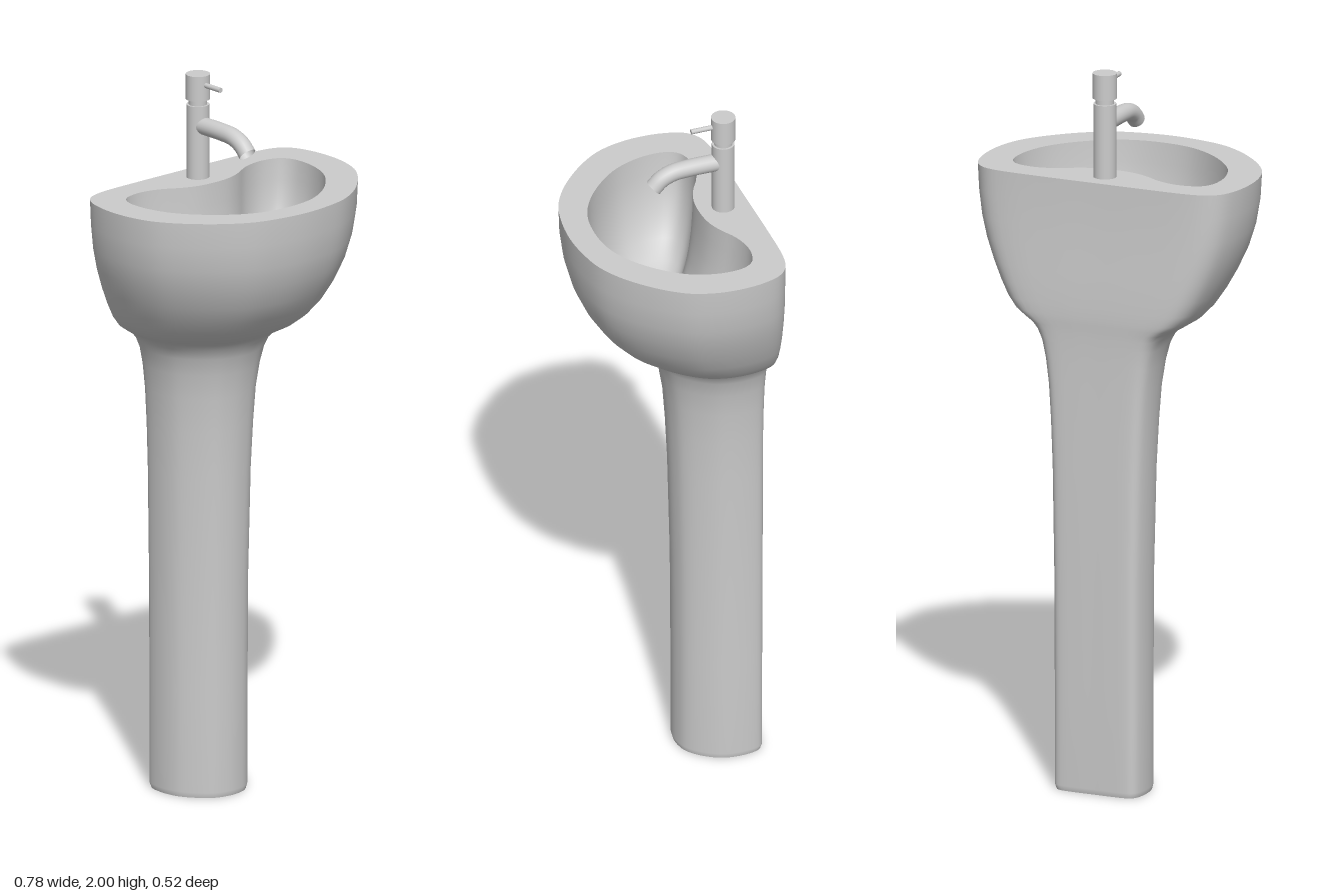
import * as THREE from 'three';

const SEG = 96;
const RIM_Y = 1.71;

// Smooth closed outline from a half profile of [x, z], front centre to back centre
function outline(half) {
  const mirrored = half.slice(1, -1).reverse().map(([x, z]) => [-x, z]);
  const pts = half.concat(mirrored).map(([x, z]) => new THREE.Vector3(x, 0, z));
  const curve = new THREE.CatmullRomCurve3(pts, true, 'centripetal');
  return Array.from({ length: SEG }, (_, i) => {
    const p = curve.getPoint(i / SEG);
    return [p.x, p.z];
  });
}

// Skin over a list of closed rings, each an array of [x, y, z]
function loft(rings) {
  const index = [];
  for (let i = 0; i < rings.length - 1; i++) {
    for (let j = 0; j < SEG; j++) {
      const k = (j + 1) % SEG;
      const a = i * SEG + j, b = i * SEG + k;
      index.push(a, b, b + SEG, a, b + SEG, a + SEG);
    }
  }
  const g = new THREE.BufferGeometry();
  g.setAttribute('position', new THREE.Float32BufferAttribute(rings.flat(2), 3));
  g.setIndex(index);
  g.computeVertexNormals();
  return g;
}

export function createModel() {
  const model = new THREE.Group();
  model.name = 'pedestalBasin';
  const grey = new THREE.MeshStandardMaterial({ color: 0xcccccc });
  const open = new THREE.MeshStandardMaterial({ color: 0xcccccc, side: THREE.DoubleSide });
  const add = (name, geometry, parent = model, material = grey) => {
    const mesh = new THREE.Mesh(geometry, material);
    mesh.name = name;
    parent.add(mesh);
    return mesh;
  };

  const outer = outline([
    [0, 0.262], [0.08, 0.255], [0.157, 0.236], [0.225, 0.198], [0.287, 0.145], [0.335, 0.09],
    [0.365, 0.04], [0.384, -0.025], [0.389, -0.09], [0.382, -0.155], [0.364, -0.205],
    [0.335, -0.232], [0.29, -0.245], [0.15, -0.25], [0, -0.25],
  ]);
  const inner = outline([
    [0, 0.19], [0.06, 0.185], [0.11, 0.17], [0.17, 0.135], [0.23, 0.08], [0.27, 0.025],
    [0.293, -0.035], [0.3, -0.085], [0.295, -0.13], [0.276, -0.158], [0.24, -0.171],
    [0.2, -0.172], [0.15, -0.158], [0.1, -0.13], [0.055, -0.114], [0, -0.109],
  ]);

  // Outer body: [y, half width, back z, front z], from floor to rim
  const section = ([y, w, back, front]) => outer.map(([x, z]) =>
    [x / 0.389 * w, y, back + (z + 0.25) / 0.512 * (front - back)]);
  const sections = [
    [0, 0.126, -0.252, -0.04], [0.015, 0.13, -0.256, -0.036], [0.3, 0.13, -0.256, -0.036],
    [0.6, 0.131, -0.257, -0.034], [0.9, 0.137, -0.256, -0.027], [1.03, 0.143, -0.255, -0.021],
    [1.13, 0.15, -0.255, -0.014], [1.2, 0.16, -0.255, -0.003], [1.25, 0.172, -0.256, 0.01],
    [1.28, 0.187, -0.257, 0.024], [1.298, 0.204, -0.258, 0.04], [1.312, 0.228, -0.259, 0.064],
    [1.33, 0.256, -0.26, 0.098], [1.36, 0.283, -0.26, 0.138], [1.4, 0.307, -0.259, 0.176],
    [1.45, 0.332, -0.257, 0.208], [1.51, 0.357, -0.254, 0.235], [1.57, 0.374, -0.252, 0.251],
    [1.64, 0.385, -0.25, 0.26], [RIM_Y, 0.389, -0.25, 0.262],
  ];
  add('basinAndPedestal', loft(sections.map(section)));
  add('pedestalBase', loft([
    section([0, 0, -0.146, -0.146]), section(sections[0]),
  ]));

  // Flat rim with the basin opening
  const flat = (pts) => pts.map(([x, z]) => new THREE.Vector2(x, -z));
  const rimShape = new THREE.Shape(flat(outer));
  rimShape.holes.push(new THREE.Path(flat(inner)));
  add('rim', new THREE.ShapeGeometry(rimShape).rotateX(-Math.PI / 2).translate(0, RIM_Y, 0));

  // Bowl interior: [y, scale]
  const bowl = [
    [RIM_Y, 1], [1.65, 0.985], [1.59, 0.95], [1.53, 0.88], [1.48, 0.78], [1.44, 0.64],
    [1.415, 0.46], [1.403, 0.25], [1.4, 0],
  ];
  add('bowl', loft(bowl.map(([y, s]) => inner.map(([x, z]) => [x * s, y, 0.02 + (z - 0.02) * s]))));

  // Mixer tap
  const tap = new THREE.Group();
  tap.name = 'tap';
  tap.position.z = -0.179;
  model.add(tap);
  const post = (name, r, y0, y1) =>
    add(name, new THREE.CylinderGeometry(r, r, y1 - y0, 32).translate(0, (y0 + y1) / 2, 0), tap);
  post('tapBody', 0.031, 1.7, 1.915);
  post('tapNeck', 0.025, 1.91, 1.935);
  post('tapHandle', 0.033, 1.93, 2);
  add('tapLever', new THREE.CylinderGeometry(0.007, 0.007, 0.075, 12)
    .rotateX(Math.PI / 2).translate(0, 1.974, 0.055), tap);

  // Spout, open at the mouth
  const path = new THREE.CatmullRomCurve3([
    [0, 1.858, 0], [0, 1.858, 0.1], [0, 1.854, 0.145], [0, 1.84, 0.178], [0, 1.818, 0.201],
  ].map((p) => new THREE.Vector3(...p)));
  add('spout', new THREE.TubeGeometry(path, 32, 0.024, 24), tap, open);

  return model;
}
